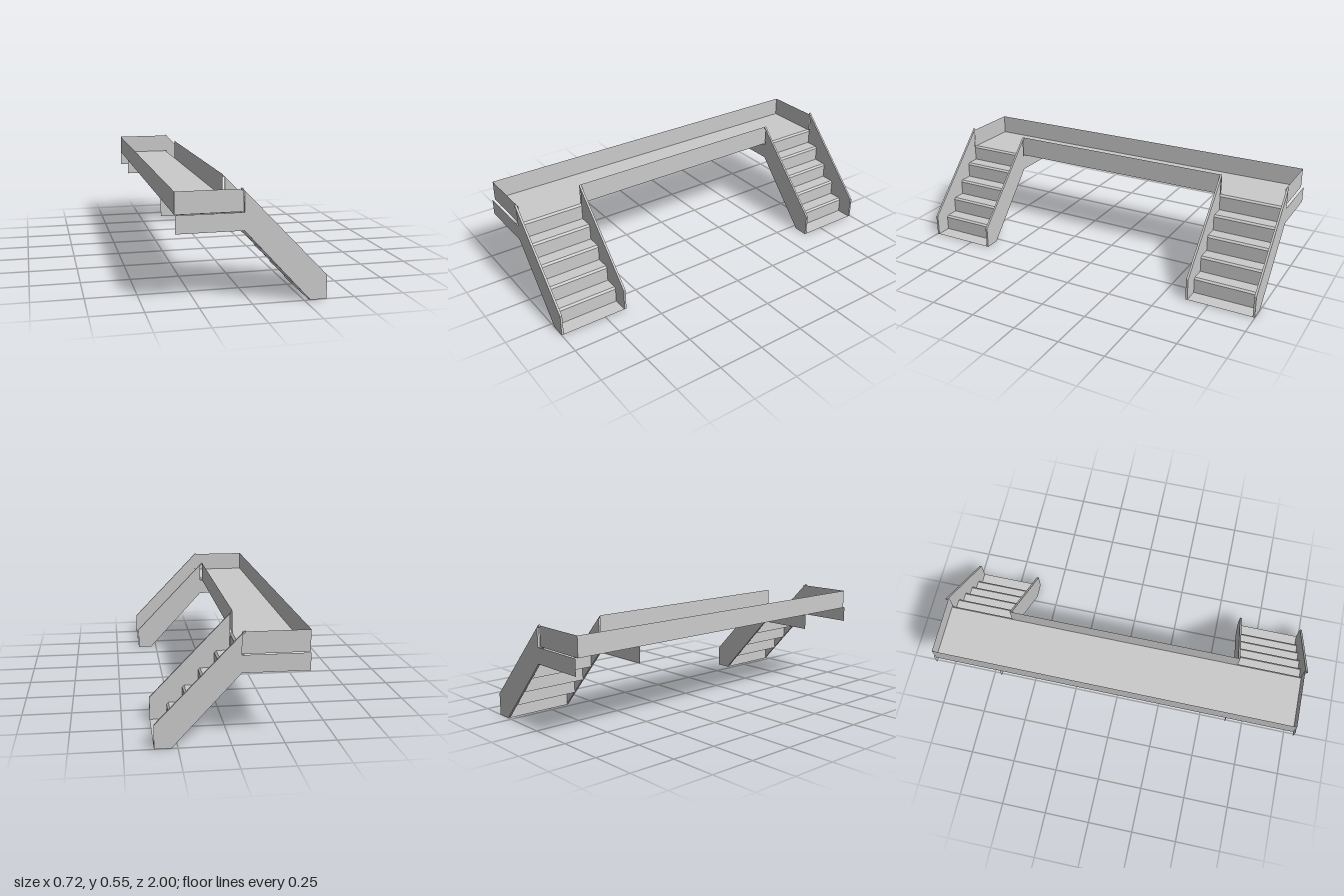
import * as THREE from 'three';

const material = new THREE.MeshStandardMaterial({ color: 0xcccccc, flatShading: true, side: THREE.DoubleSide });

const BACK = -0.36, EDGE = -0.055, TURN = -0.042, FOOT = 0.36; // positions along x
const FLOOR = 0.435, RAIL_TOP = 0.54, END = 0.985;
const STEPS = 5, RISE = FLOOR / STEPS, RUN = 0.08, NOSE = 0.01;

function add(parent, name, geometry) {
  const mesh = new THREE.Mesh(geometry, material);
  mesh.name = name;
  parent.add(mesh);
  return mesh;
}

function outline(points) {
  return new THREE.Shape(points.map(([x, y]) => new THREE.Vector2(x, y)));
}

// Thin upright panel in the x-y plane
function panel(parent, name, x0, x1, y0, y1, z) {
  const mesh = add(parent, name, new THREE.PlaneGeometry(x1 - x0, y1 - y0));
  mesh.position.set((x0 + x1) / 2, (y0 + y1) / 2, z);
}

// Thin upright panel running along z
function longPanel(parent, name, x, y0, y1, halfLength) {
  const mesh = add(parent, name, new THREE.PlaneGeometry(halfLength * 2, y1 - y0));
  mesh.rotation.y = Math.PI / 2;
  mesh.position.set(x, (y0 + y1) / 2, 0);
}

// Strip swept along z from a profile of [x, y] points
function strip(profile, z0, z1) {
  const positions = [], index = [];
  profile.forEach(([x, y], i) => {
    positions.push(x, y, z0, x, y, z1);
    if (i > 0) {
      const a = (i - 1) * 2;
      index.push(a, a + 1, a + 2, a + 1, a + 3, a + 2);
    }
  });
  const geometry = new THREE.BufferGeometry();
  geometry.setAttribute('position', new THREE.Float32BufferAttribute(positions, 3));
  geometry.setIndex(index);
  const flat = geometry.toNonIndexed();
  flat.computeVertexNormals();
  return flat;
}

function createStair(side) {
  const stair = new THREE.Group();
  stair.name = side > 0 ? 'frontStair' : 'backStair';

  // Sloping side boards, with a thin beam carrying on under the walkway
  const board = outline([
    [TURN, 0.35], [0.28, 0], [FOOT, 0], [FOOT, 0.116],
    [EDGE, 0.547], [EDGE, RAIL_TOP - 0.005], [TURN, RAIL_TOP - 0.01],
  ]);
  for (const [name, z0, face] of [['inner', 0.625, 0.625], ['outer', 0.988, 0.999]]) {
    const geometry = new THREE.ExtrudeGeometry(board, { depth: 0.011, bevelEnabled: false });
    const mesh = add(stair, name + 'SideBoard', geometry);
    mesh.position.z = side > 0 ? z0 : -z0 - 0.011;
    panel(stair, name + 'Beam', BACK, TURN, 0.35, FLOOR, side * face);
  }

  // Treads and risers with a chamfered nosing, ending in a ground plate
  const profile = [];
  for (let i = 0; i < STEPS; i++) {
    const x = EDGE + i * RUN, y = FLOOR - i * RISE;
    profile.push([x, y], [x + NOSE, y - NOSE], [x + NOSE, y - RISE]);
  }
  profile.push([FOOT, 0]);
  const ends = [side * 0.63, side * 0.992].sort((a, b) => a - b);
  add(stair, 'steps', strip(profile, ...ends));
  return stair;
}

export function createModel() {
  const model = new THREE.Group();
  model.name = 'walkwayWithStairs';

  // Raised walkway
  add(model, 'walkwayFloor', strip([[BACK, FLOOR], [EDGE, FLOOR]], -END, END));
  longPanel(model, 'rearRail', BACK, FLOOR, RAIL_TOP, END);
  longPanel(model, 'innerRail', EDGE, FLOOR, 0.547, 0.636);
  for (const side of [1, -1]) {
    panel(model, side > 0 ? 'frontEndRail' : 'backEndRail', BACK, TURN, FLOOR, RAIL_TOP, side * END);
    model.add(createStair(side));
  }
  return model;
}
